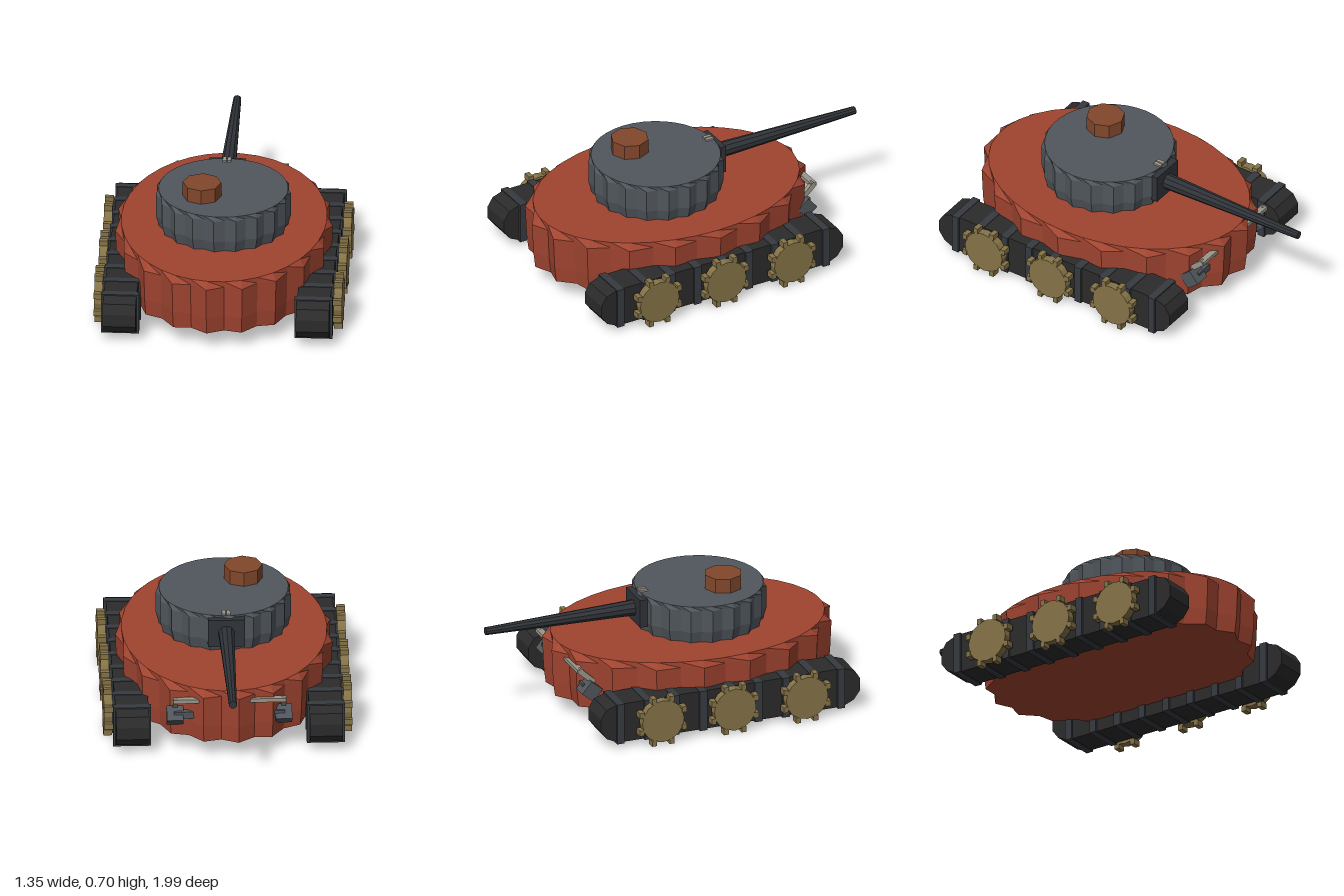
import * as THREE from 'three';

const paint = (color) => new THREE.MeshStandardMaterial({ color, flatShading: true });
const red = paint(0xa04430), steel = paint(0x50565c), rubber = paint(0x2b2b2b), band = paint(0x363a40);
const gunmetal = paint(0x303338), brass = paint(0x857347), copper = paint(0x82472c), rail = paint(0x9a968a);

function add(parent, name, geometry, material, x = 0, y = 0, z = 0) {
  const mesh = new THREE.Mesh(geometry, material);
  mesh.name = name;
  mesh.position.set(x, y, z);
  parent.add(mesh);
  return mesh;
}
const box = (x, y, z) => new THREE.BoxGeometry(x, y, z);

// Drum with 19 pointed ridges around its side; the top rim stays smooth
function ridgedDrum(profile, radiusX, radiusZ) {
  const points = profile.map(([r, y]) => new THREE.Vector2(r, y));
  const geo = new THREE.LatheGeometry(points, 38, Math.PI / 2);
  const pos = geo.attributes.position;
  for (let i = 0; i < pos.count; i++) {
    const column = Math.floor(i / points.length), row = i % points.length;
    const valley = column % 2 === 1 && row < points.length - 2;
    const f = valley ? 0.945 : 1;
    pos.setXYZ(i, pos.getX(i) * f * radiusX, pos.getY(i), pos.getZ(i) * f * radiusZ);
  }
  return geo;
}

// Rounded track outline in the z-y plane, extruded across x
function trackGeometry() {
  const end = [[0.655, 0.04], [0.72, 0.07], [0.757, 0.12], [0.757, 0.19], [0.725, 0.24], [0.655, 0.265]];
  const outline = [...end, ...end.map(([z, y]) => [-z, y]).reverse()];
  const shape = new THREE.Shape(outline.map(([z, y]) => new THREE.Vector2(z, y)));
  const geo = new THREE.ExtrudeGeometry(shape, { depth: 0.18, bevelEnabled: false });
  return geo.translate(0, 0, -0.09).rotateY(-Math.PI / 2);
}

function wheel() {
  const group = new THREE.Group();
  group.name = 'wheel';
  add(group, 'wheelDisc', new THREE.CylinderGeometry(0.122, 0.122, 0.046, 16).rotateZ(Math.PI / 2), brass);
  for (let i = 0; i < 8; i++) {
    const a = (i + 0.5) * Math.PI / 4;
    add(group, 'wheelTooth', box(0.048, 0.032, 0.028), brass, 0, Math.sin(a) * 0.134, Math.cos(a) * 0.134);
  }
  return group;
}

export function createModel() {
  const model = new THREE.Group();
  model.name = 'tank';

  // Hull and turret
  add(model, 'hull', ridgedDrum(
    [[0, 0.11], [0.975, 0.11], [0.99, 0.205], [1, 0.382], [0.945, 0.415], [0, 0.415]], 0.59, 0.815), red, 0, 0, 0.18);
  add(model, 'turret', ridgedDrum(
    [[0, 0.41], [0.95, 0.41], [1, 0.48], [1, 0.605], [0.955, 0.628], [0, 0.628]], 0.368, 0.368), steel, 0, 0, 0.245);
  add(model, 'hatch', new THREE.CylinderGeometry(0.105, 0.105, 0.085, 8), copper, -0.11, 0.667, 0.345);

  // Gun, pointing to the rear
  add(model, 'mantlet', box(0.2, 0.16, 0.045), gunmetal, 0, 0.535, -0.115);
  const barrel = new THREE.CylinderGeometry(0.045, 0.022, 0.88, 10).rotateX(Math.PI / 2);
  add(model, 'barrel', barrel, gunmetal, 0, 0.535, -0.56);
  for (const x of [-0.013, 0.013]) add(model, 'sight', box(0.02, 0.02, 0.045), rail, x, 0.628, -0.083);

  // Running gear on both sides
  for (const side of [-1, 1]) {
    add(model, 'track', trackGeometry(), rubber, side * 0.525, 0, 0.185);
    for (let i = 0; i < 9; i++)
      add(model, 'trackBand', box(0.206, 0.232, 0.042), band, side * 0.525, 0.152, -0.46 + i * 0.161);
    for (const z of [-0.23, 0.19, 0.61]) {
      const w = wheel();
      w.position.set(side * 0.65, 0.15, z);
      model.add(w);
    }

    // Rear stowage box and its slanted strut
    const stowage = add(model, 'rearBox', box(0.09, 0.085, 0.085), steel, side * 0.295, 0.235, -0.51);
    stowage.rotation.x = 0.7;
    const strut = add(model, 'railStrut', box(0.025, 0.03, 0.12), rail, side * 0.295, 0.315, -0.53);
    strut.rotation.x = 0.75;
  }

  // Rear rail and the bar beneath it
  add(model, 'rearRail', box(0.61, 0.022, 0.035), rail, 0, 0.35, -0.567);
  add(model, 'rearBar', box(0.6, 0.04, 0.04), steel, 0, 0.25, -0.53);
  return model;
}
